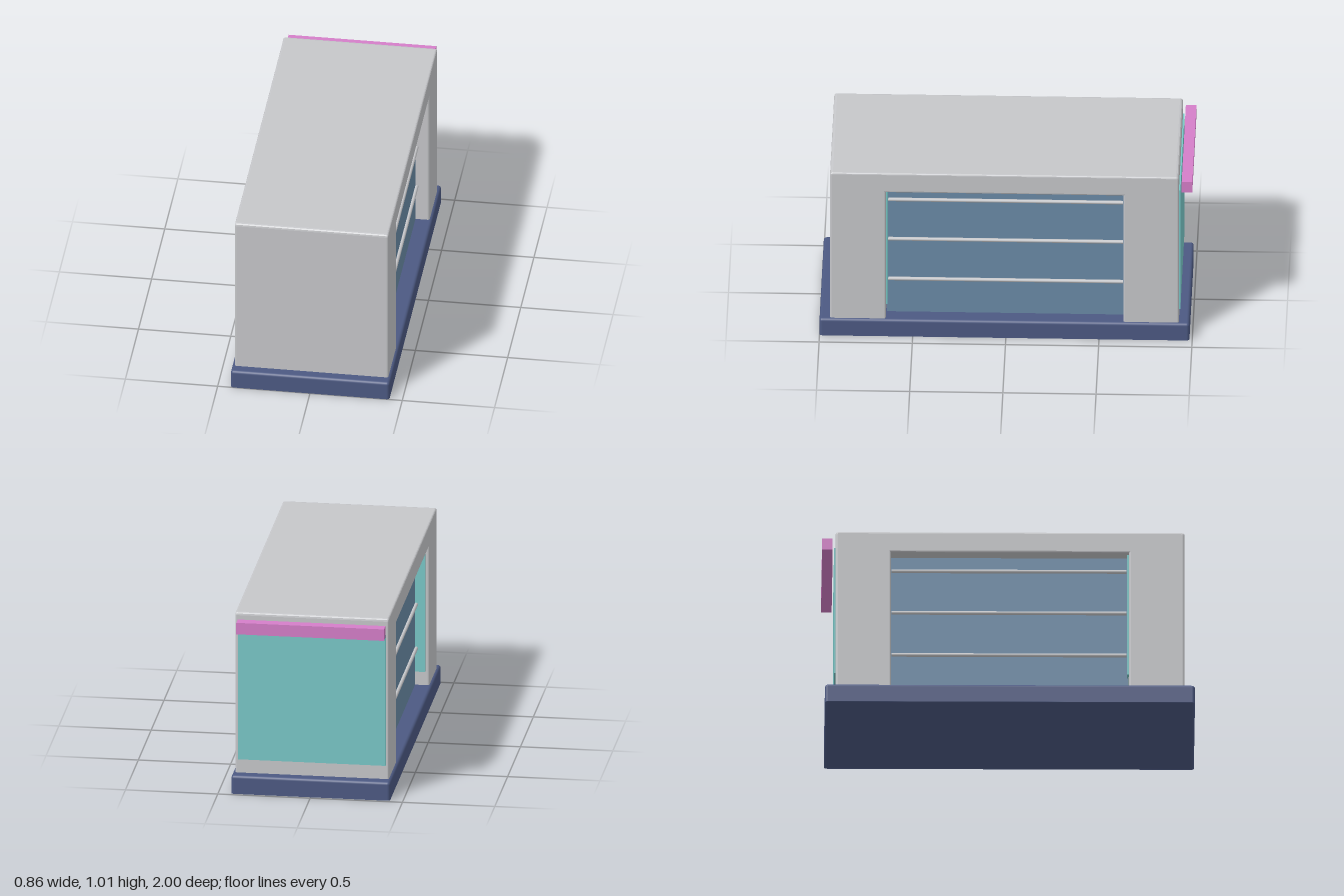
import * as THREE from 'three';
import { RoundedBoxGeometry } from 'three/addons/geometries/RoundedBoxGeometry.js';

const paint = (name, color) => Object.assign(new THREE.MeshStandardMaterial({ color }), { name });

export function createModel() {
  const grey = paint('wall grey', 0xc5c6c9);
  const navy = paint('plinth navy', 0x4c5982);
  const blue = paint('glass blue', 0x6a8aa6);
  const teal = paint('panel teal', 0x78c6c6);
  const pink = paint('sign pink', 0xd47ec8);

  const group = new THREE.Group();
  group.name = 'kiosk';

  function add(name, geometry, material) {
    const mesh = new THREE.Mesh(geometry, material);
    mesh.name = name;
    group.add(mesh);
    return mesh;
  }

  // Box from its half width and its y and z limits
  function block(name, material, halfX, y0, y1, z0, z1) {
    add(name, new THREE.BoxGeometry(halfX * 2, y1 - y0, z1 - z0), material)
      .position.set(0, (y0 + y1) / 2, (z0 + z1) / 2);
  }

  // Plinth: rounded top and corners, cut flat at the ground
  const plinth = new RoundedBoxGeometry(0.86, 0.123, 1.985, 3, 0.016);
  plinth.translate(0, 0.0415, 0.0075);
  const points = plinth.attributes.position;
  for (let i = 0; i < points.count; i++) points.setY(i, Math.max(0, points.getY(i)));
  add('plinth', plinth, navy);

  // Shell: side profile of end walls and roof, extruded across the width
  const back = -0.928, front = 0.944, top = 1.01, foot = 0.08, r = 0.016;
  const profile = new THREE.Shape();
  profile.moveTo(back, foot);
  profile.lineTo(-0.63, foot);
  profile.lineTo(-0.63, 0.89);
  profile.lineTo(0.645, 0.89);
  profile.lineTo(0.645, foot);
  profile.lineTo(front, foot);
  profile.lineTo(front, top - r);
  profile.quadraticCurveTo(front, top, front - r, top);
  profile.lineTo(back + r, top);
  profile.quadraticCurveTo(back, top, back, top - r);
  profile.closePath();
  const bevel = 0.01, halfWidth = 0.416;
  const shell = new THREE.ExtrudeGeometry(profile, {
    depth: 2 * (halfWidth - bevel), curveSegments: 3, bevelEnabled: true,
    bevelSize: bevel, bevelThickness: bevel, bevelOffset: -bevel, bevelSegments: 3,
  });
  shell.translate(0, 0, bevel - halfWidth);
  shell.rotateY(-Math.PI / 2);
  add('shell', shell, grey);

  // Glazed core, recessed between the end walls
  block('glazing', blue, 0.34, 0.1, 0.895, -0.635, 0.64);

  // Horizontal rails on both sides of the glazing
  for (const side of [-1, 1]) {
    for (const y of [0.313, 0.562, 0.808]) {
      const rail = add('rail', new THREE.CylinderGeometry(0.01, 0.01, 1.26, 12), grey);
      rail.rotation.x = Math.PI / 2;
      rail.position.set(side * 0.347, y, 0.003);
    }
  }

  // Display panels on the front wall's inner face and on the back
  block('innerPanel', teal, 0.395, 0.18, 0.885, 0.636, 0.648);
  block('backPanel', teal, 0.4, 0.18, 0.92, -0.936, -0.925);

  // Sign bar above the back panel
  block('signBar', pink, 0.4, 0.91, 0.975, -1.0, -0.943);

  return group;
}
